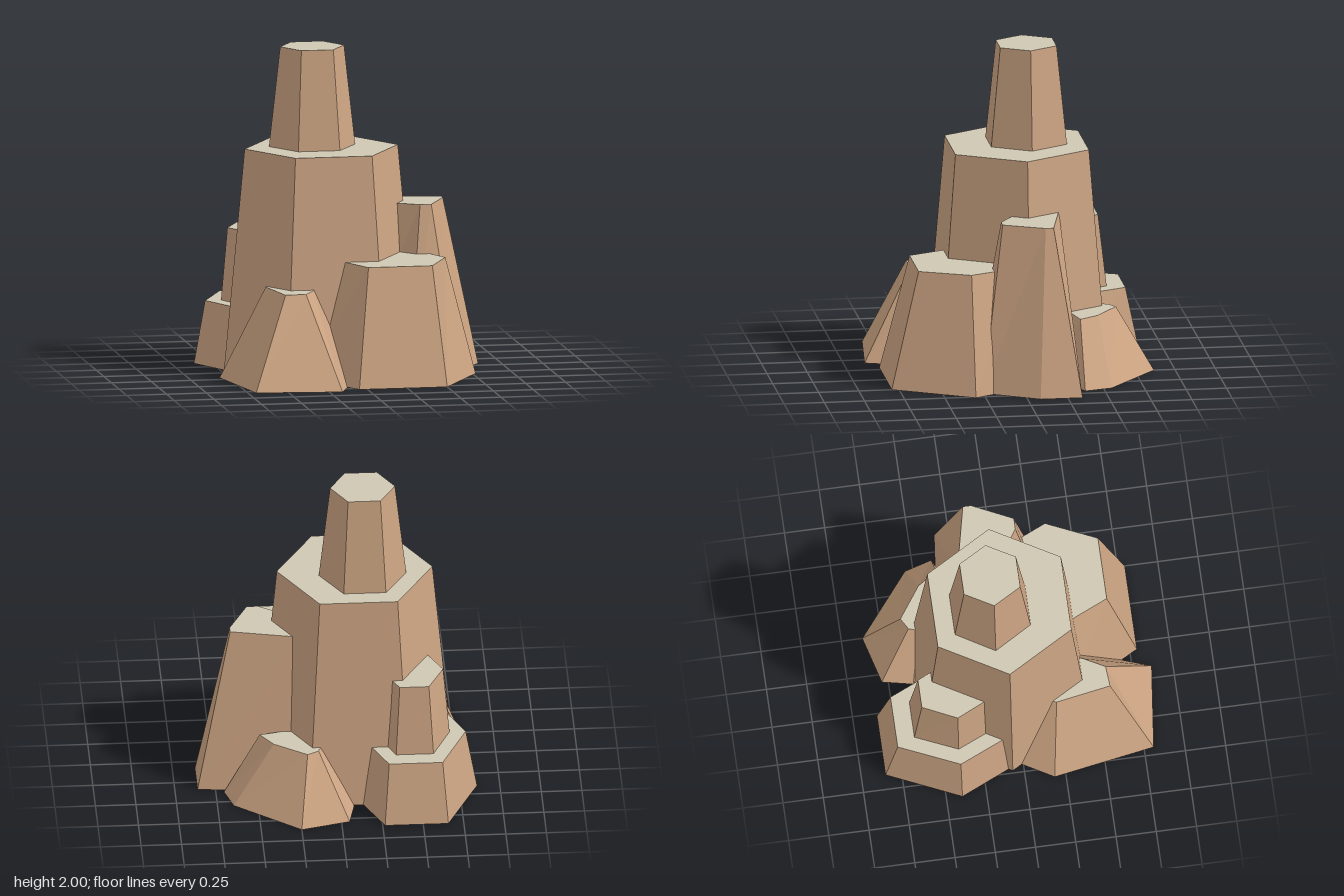
import * as THREE from 'three';

const stone = new THREE.MeshStandardMaterial({ color: 0xcda583, flatShading: true });
const ledge = new THREE.MeshStandardMaterial({ color: 0xcfc7b2, flatShading: true });

// Six-sided outline [x, z] with points at left and right
function hex(cx, cz, rx, rz, half) {
  return [[rx, 0], [half, rz], [-half, rz], [-rx, 0], [-half, -rz], [half, -rz]]
    .map(([x, z]) => [cx + x, cz + z]);
}

function meshOf(points, material, name) {
  const geometry = new THREE.BufferGeometry();
  geometry.setAttribute('position', new THREE.Float32BufferAttribute(points.flat(), 3));
  geometry.computeVertexNormals();
  const mesh = new THREE.Mesh(geometry, material);
  mesh.name = name;
  return mesh;
}

// Tapered rock between two outlines that run from +x towards +z
function rock(name, base, top, y0, y1) {
  const sides = [], cap = [];
  const lift = (ring, y) => ring.map(([x, z]) => [x, y, z]);
  const centre = (ring, y) => [
    ring.reduce((s, p) => s + p[0], 0) / ring.length, y,
    ring.reduce((s, p) => s + p[1], 0) / ring.length];
  const b = lift(base, y0), t = lift(top, y1);
  const cb = centre(base, y0), ct = centre(top, y1);
  for (let i = 0; i < b.length; i++) {
    const j = (i + 1) % b.length;
    sides.push(b[i], t[i], b[j], b[j], t[i], t[j]); // wall
    sides.push(cb, b[i], b[j]); // underside
    cap.push(ct, t[j], t[i]); // flat ledge
  }
  const group = new THREE.Group();
  group.name = name;
  group.add(meshOf(sides, stone, name + 'Walls'), meshOf(cap, ledge, name + 'Ledge'));
  return group;
}

export function createModel() {
  const model = new THREE.Group();
  model.name = 'rockFormation';

  // Central tower and its spire
  model.add(rock('centralTower',
    hex(-0.125, -0.07, 0.61, 0.52, 0.31), hex(-0.125, -0.07, 0.48, 0.415, 0.24), 0, 1.38));
  model.add(rock('spire',
    hex(-0.17, -0.135, 0.27, 0.235, 0.13), hex(-0.17, -0.135, 0.2, 0.175, 0.1), 1.38, 2));

  // Front block
  model.add(rock('frontBlock',
    hex(0.225, 0.31, 0.545, 0.485, 0.275), hex(0.24, 0.31, 0.34, 0.31, 0.2), 0, 0.73));

  // Stepped rock at the back
  model.add(rock('backLowerStep',
    hex(-0.46, -0.4, 0.4, 0.45, 0.195), hex(-0.46, -0.4, 0.33, 0.37, 0.165), 0, 0.39));
  model.add(rock('backUpperStep',
    hex(-0.46, -0.4, 0.23, 0.26, 0.115), hex(-0.46, -0.4, 0.19, 0.21, 0.09), 0.39, 0.84));

  // Side tower
  model.add(rock('sideTower',
    [[0.86, -0.08], [0.67, 0.25], [0.36, 0.28], [0.08, -0.05], [0.2, -0.41], [0.86, -0.34]],
    [[0.65, -0.14], [0.53, 0.11], [0.46, 0.11], [0.14, -0.1], [0.24, -0.28], [0.65, -0.19]],
    0, 1.03));

  // Front mound
  model.add(rock('frontMound',
    [[0.05, 0.3], [-0.11, 0.7], [-0.17, 0.87], [-0.7, 0.81], [-0.81, 0.18], [-0.62, -0.15]],
    [[-0.2, 0.25], [-0.27, 0.43], [-0.34, 0.56], [-0.47, 0.57], [-0.53, 0.23], [-0.48, 0.1]],
    0, 0.565));

  // Back mound
  model.add(rock('backMound',
    [[0.7, -0.38], [0.3, -0.2], [-0.09, -0.6], [-0.05, -0.79], [0.25, -0.87], [0.65, -0.55]],
    [[0.48, -0.38], [0.25, -0.33], [0.11, -0.54], [0.13, -0.6], [0.2, -0.64], [0.4, -0.5]],
    0, 0.4));

  return model;
}
